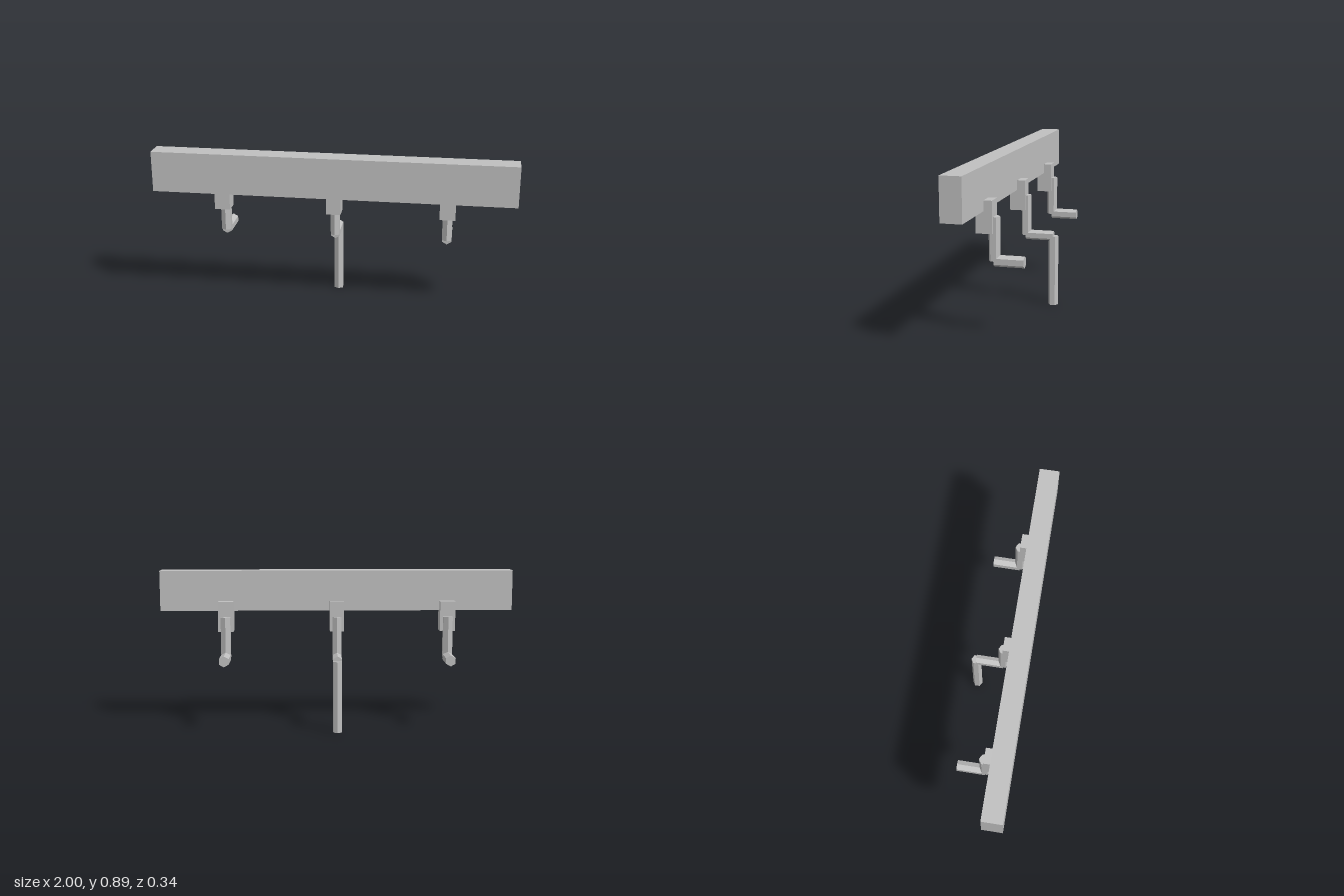
import * as THREE from 'three';

export function createModel() {
  const model = new THREE.Group();
  const metal = new THREE.MeshStandardMaterial({ color: 0xc0c0c0, flatShading: true });
  metal.name = 'light grey metal';

  const add = (parent, name, geometry, x, y, z) => {
    const mesh = new THREE.Mesh(geometry, metal);
    mesh.name = name;
    mesh.position.set(x, y, z);
    parent.add(mesh);
    return mesh;
  };

  // Hexagonal rod with a corner facing the front
  const hexRod = (radius, length) => new THREE.CylinderGeometry(radius, radius, length, 6);

  // Long rail
  add(model, 'rail', new THREE.BoxGeometry(2, 0.227, 0.112), 0, 0.7735, 0.115);

  // Bracket with a rod going down, then one reaching back
  const addHook = (name, x, radius, width) => {
    const hook = new THREE.Group();
    hook.name = name;
    hook.position.x = x;
    add(hook, 'bracket', new THREE.BoxGeometry(width, 0.17, 0.086), 0, 0.63, 0.058);
    add(hook, 'uprightRod', hexRod(radius, 0.229), 0, 0.5145, 0.015);
    add(hook, 'backRod', hexRod(radius, 0.157), 0, 0.4, -0.0635).rotation.x = Math.PI / 2;
    model.add(hook);
    return hook;
  };

  addHook('rightHook', -0.628, 0.031, 0.086);
  addHook('leftHook', 0.628, 0.031, 0.086);

  // The middle hook is slimmer and carries a long handle
  const crank = addHook('middleCrank', 0, 0.028, 0.08);
  add(crank, 'handle', hexRod(0.028, 0.4), 0, 0.2, -0.142);

  return model;
}
